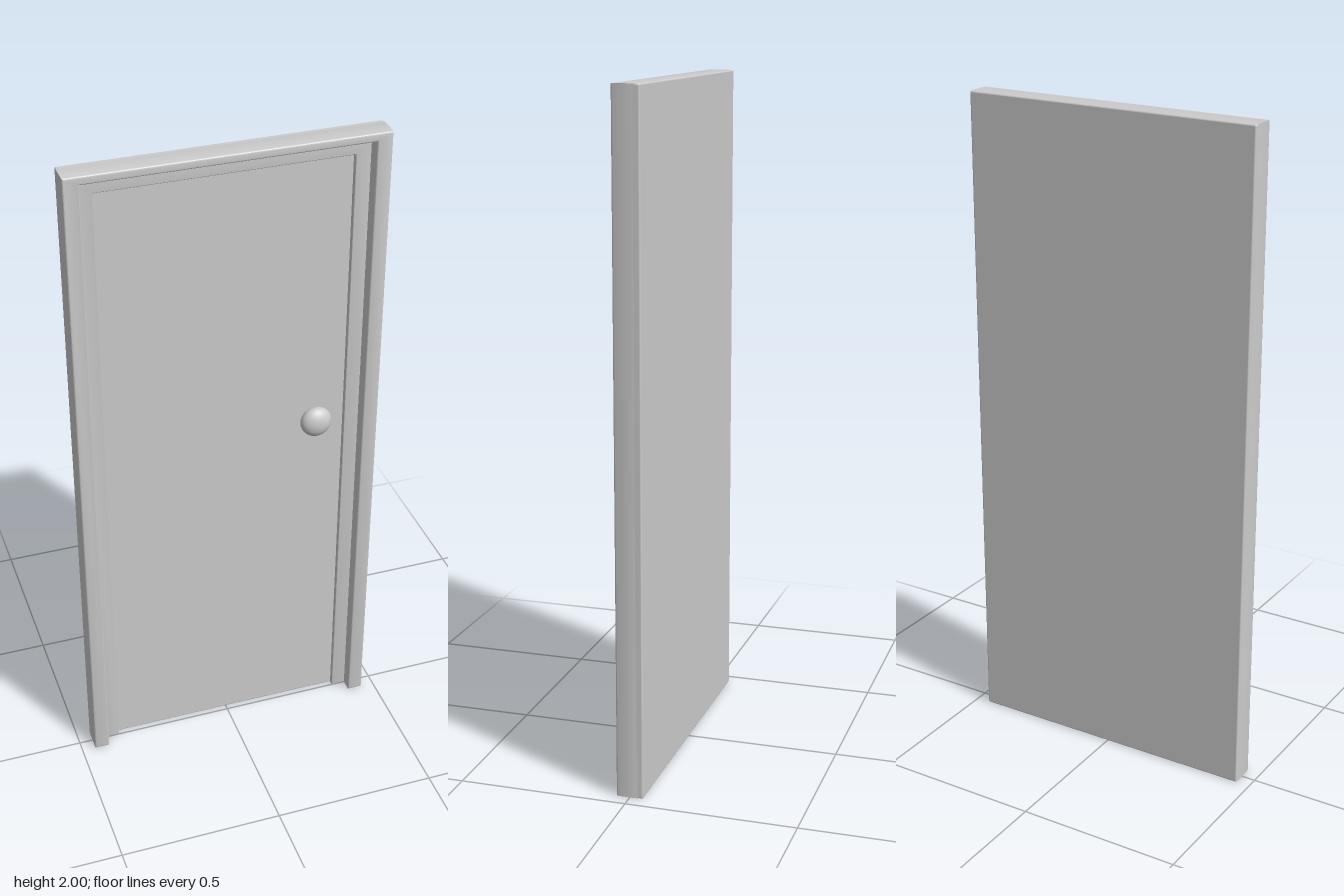
import * as THREE from 'three';
import { RoundedBoxGeometry } from 'three/addons/geometries/RoundedBoxGeometry.js';
import { toCreasedNormals } from 'three/addons/utils/BufferGeometryUtils.js';

const HALF_WIDTH = 0.458, HEIGHT = 2, BACK = -0.04, FRONT = 0.04, PANEL_FRONT = -0.015;

// Upside-down U (two jambs and a head), extruded from z0 to z1 with softened edges
function surround(outerX, outerTop, innerX, innerTop, z0, z1, bevel) {
  const shape = new THREE.Shape([
    [-outerX, 0], [-innerX, 0], [-innerX, innerTop], [innerX, innerTop],
    [innerX, 0], [outerX, 0], [outerX, outerTop], [-outerX, outerTop],
  ].map(([x, y]) => new THREE.Vector2(x, y)));
  const geometry = new THREE.ExtrudeGeometry(shape, {
    depth: z1 - z0 - 2 * bevel,
    bevelEnabled: true,
    bevelThickness: bevel,
    bevelSize: bevel,
    bevelOffset: -bevel,
    bevelSegments: 3,
  });
  geometry.translate(0, 0, z0 + bevel);
  return toCreasedNormals(geometry, 0.7);
}

export function createModel() {
  const group = new THREE.Group();
  group.name = 'door';
  const material = new THREE.MeshStandardMaterial({ color: 0xcccccc });

  function add(name, geometry) {
    const mesh = new THREE.Mesh(geometry, material);
    mesh.name = name;
    group.add(mesh);
    return mesh;
  }

  // Door panel, closing the whole back
  const thickness = PANEL_FRONT - BACK;
  add('doorPanel', new RoundedBoxGeometry(2 * HALF_WIDTH, HEIGHT, thickness, 3, 0.005))
    .position.set(0, HEIGHT / 2, BACK + thickness / 2);

  // Outer frame and the recessed stop inside it
  add('doorFrame', surround(HALF_WIDTH, HEIGHT, 0.412, 1.975, -0.03, FRONT, 0.005));
  add('doorStop', surround(0.44, 1.99, 0.368, 1.927, -0.03, 0, 0.003));

  // Flattened round knob
  const knob = add('doorKnob', new THREE.SphereGeometry(0.048, 32, 20));
  knob.scale.z = 0.65;
  knob.position.set(0.28, 1.075, -0.005);

  return group;
}
